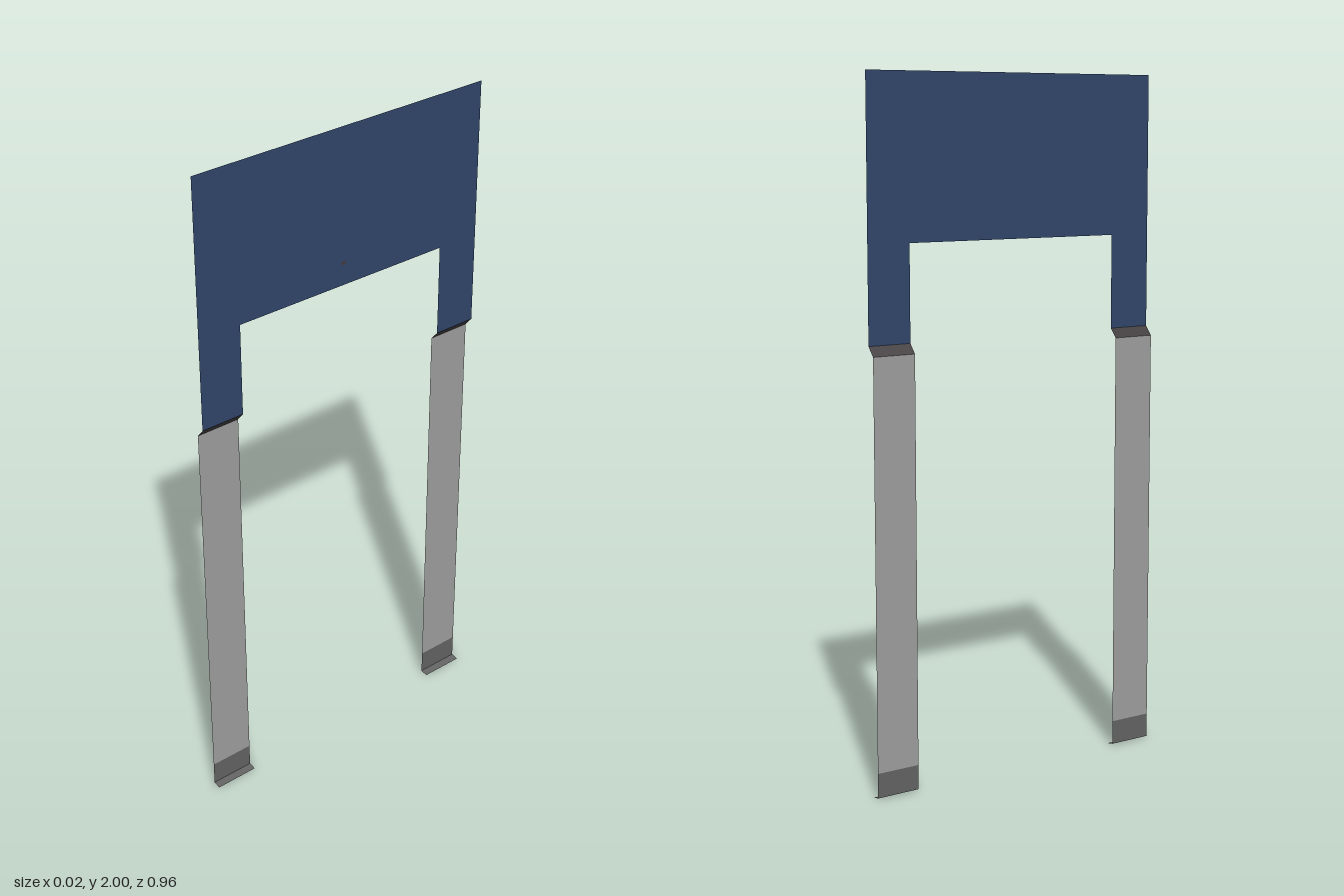
import * as THREE from 'three';

const mat = (name, color) => {
  const m = new THREE.MeshStandardMaterial({ color, side: THREE.DoubleSide });
  m.name = name;
  return m;
};

// Sheet swept along z (z0 to z1) from a short x,y profile, with no end caps
function sheet(name, profile, z0, z1, material) {
  const pos = [];
  for (let i = 0; i < profile.length - 1; i++) {
    const [xa, ya] = profile[i], [xb, yb] = profile[i + 1];
    pos.push(xa, ya, z0, xb, yb, z1, xa, ya, z1);
    pos.push(xa, ya, z0, xb, yb, z0, xb, yb, z1);
  }
  const g = new THREE.BufferGeometry();
  g.setAttribute('position', new THREE.Float32BufferAttribute(pos, 3));
  g.computeVertexNormals();
  const mesh = new THREE.Mesh(g, material);
  mesh.name = name;
  return mesh;
}

export function createModel() {
  const model = new THREE.Group();
  model.name = 'flatFigure';
  const blue = mat('navyBlue', 0x2f4569);
  const grey = mat('lightGrey', 0x9c9c9c);
  const footGrey = mat('footGrey', 0x626262);
  const dark = mat('darkCuff', 0x403a3c);

  const xUp = 0.011, xLeg = -0.012;   // depth of the panel and of the legs
  const outer = 0.48, inner = 0.347;  // leg edges along z

  // Upper panel with two short tabs, drawn in z,y and turned to face +x
  const s = new THREE.Shape();
  [[-outer, 1.267], [-inner, 1.267], [-inner, 1.54], [inner, 1.54],
    [inner, 1.267], [outer, 1.267], [outer, 2], [-outer, 2]]
    .forEach(([z, y], i) => (i ? s.lineTo(z, y) : s.moveTo(z, y)));
  const panel = new THREE.Mesh(new THREE.ShapeGeometry(s), blue);
  panel.rotation.y = Math.PI / 2;
  panel.position.x = xUp;
  panel.name = 'upperPanel';
  model.add(panel);

  // Tiny stud on the panel
  const stud = new THREE.Mesh(new THREE.CircleGeometry(0.009, 8), dark);
  stud.rotation.y = Math.PI / 2;
  stud.position.set(xUp + 0.001, 1.607, 0);
  stud.scale.y = 0.7;
  stud.name = 'stud';
  model.add(stud);

  // Legs: sloping cuff, long strip, foot with a short ledge
  for (const [side, z0, z1] of [['front', inner, outer], ['back', -outer, -inner]]) {
    const leg = new THREE.Group();
    leg.name = side + 'Leg';
    leg.add(
      sheet('cuff', [[xUp, 1.267], [xLeg, 1.24]], z0, z1, dark),
      sheet('shin', [[xLeg, 1.24], [xLeg, 0.075]], z0, z1, grey),
      sheet('foot', [[xLeg, 0.075], [xLeg, 0.004], [xUp, 0]], z0, z1, footGrey),
    );
    model.add(leg);
  }
  return model;
}
